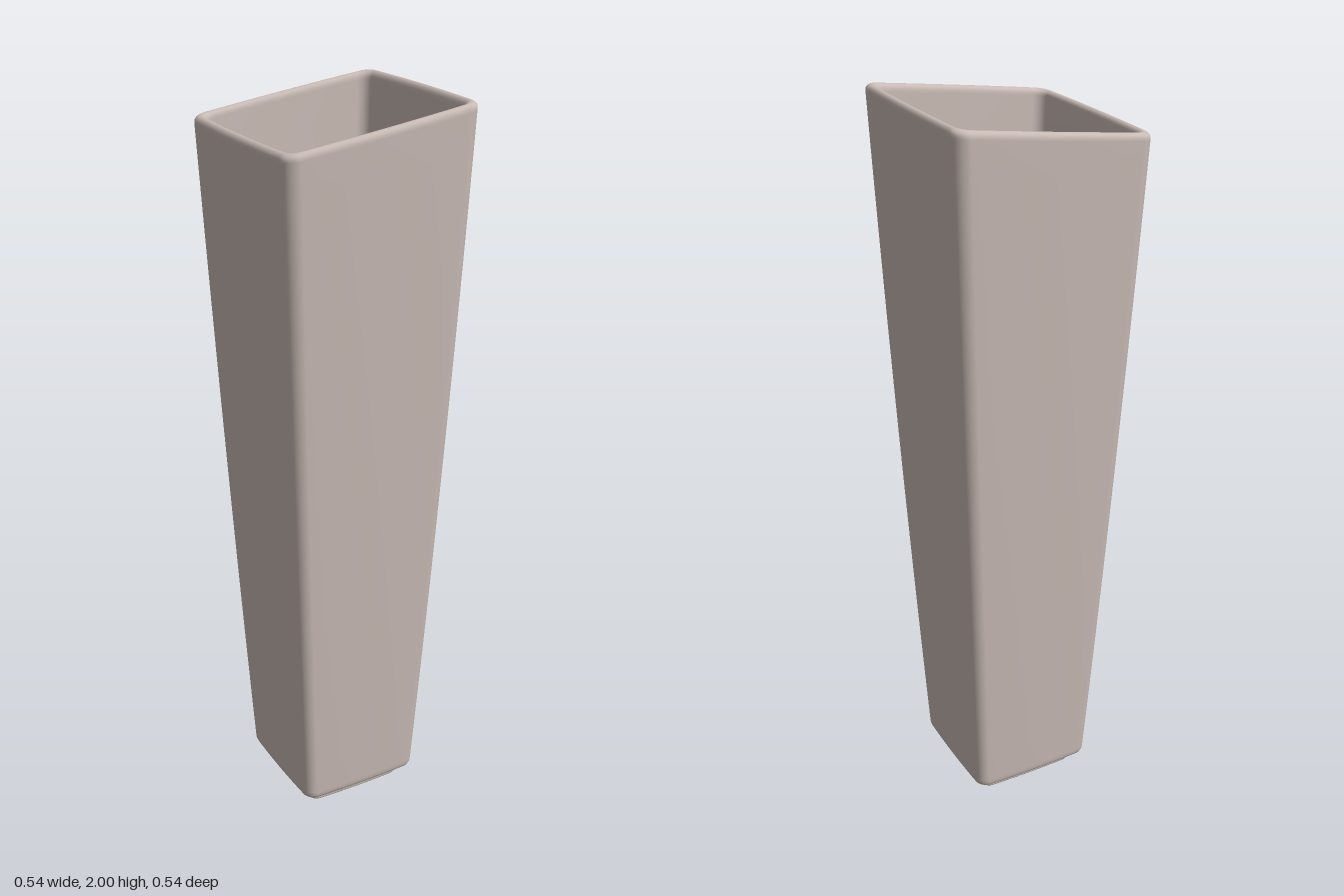
import * as THREE from 'three';

// One point of a rounded square ring, with sides bowing out slightly
function squareRing(half, radius, bow) {
  const r = Math.min(radius, half * 0.9);
  const e = half - r, pts = [], cornerSegs = 7, sideSegs = 10;
  const base = [];
  for (let k = 0; k <= cornerSegs; k++) {
    const a = -Math.PI / 4 + (k / cornerSegs - 0.5) * Math.PI / 2;
    base.push([e + Math.cos(a) * r, -e + Math.sin(a) * r]);
  }
  for (let k = 1; k < sideSegs; k++) base.push([half, -e + 2 * e * k / sideSegs]);
  for (let q = 0; q < 4; q++) {
    const c = Math.round(Math.cos(q * Math.PI / 2)), s = Math.round(Math.sin(q * Math.PI / 2));
    for (const [x, z] of base) pts.push([x * c - z * s, x * s + z * c]);
  }
  // pull the corners in so that mid-sides stay at full width
  return pts.map(([x, z]) => {
    const u = x / half, v = z / half;
    return [x * (1 - bow * v * v), z * (1 - bow * u * u)];
  });
}

// Surface through square rings listed as [half width, height, corner radius]
function loft(profile, tilt) {
  const pos = [], idx = [];
  let n = 0;
  profile.forEach(([half, y, radius]) => {
    const ring = squareRing(half, radius, 0.025);
    n = ring.length;
    for (const [x, z] of ring) pos.push(x, y - tilt * (0.258 - x) * Math.pow(y / 2, 3), z);
  });
  for (let i = 0; i < profile.length - 1; i++) {
    for (let j = 0; j < n; j++) {
      const a = i * n + j, b = i * n + (j + 1) % n;
      idx.push(a, a + n, b, b, a + n, b + n);
    }
  }
  const g = new THREE.BufferGeometry();
  g.setAttribute('position', new THREE.Float32BufferAttribute(pos, 3));
  g.setIndex(idx);
  g.computeVertexNormals();
  return g;
}

export function createModel() {
  const group = new THREE.Group();
  group.name = 'vase';
  const ceramic = new THREE.MeshStandardMaterial({ color: 0xc8bab4 });
  ceramic.name = 'warm grey ceramic';

  const flare = (t) => 1.2 * t - 0.2 * t * t;

  // Recessed underside and foot ring
  const profile = [
    [0.001, 0.025, 0.02], [0.112, 0.025, 0.02], [0.118, 0.024, 0.02], [0.121, 0.02, 0.02],
    [0.123, 0.006, 0.02], [0.126, 0.001, 0.02], [0.13, 0, 0.02],
    [0.141, 0, 0.022], [0.146, 0.002, 0.022], [0.148, 0.006, 0.022],
    [0.149, 0.028, 0.022], [0.151, 0.032, 0.022], [0.155, 0.033, 0.024],
    [0.167, 0.033, 0.026], [0.174, 0.035, 0.028], [0.179, 0.04, 0.03], [0.182, 0.048, 0.03],
  ];
  // Flaring outer wall
  for (let i = 0; i <= 20; i++) {
    const t = i / 20;
    profile.push([0.183 + 0.087 * flare(t), 0.06 + 1.92 * t, 0.03 + 0.006 * t]);
  }
  // Rounded rim
  for (let i = 1; i < 10; i++) {
    const a = Math.PI * i / 10;
    profile.push([0.257 + 0.013 * Math.cos(a), 1.982 + 0.018 * Math.sin(a), 0.034 - 0.0006 * i]);
  }
  // Inner wall
  for (let i = 20; i >= 0; i--) {
    const t = i / 20;
    profile.push([0.164 + 0.08 * flare(t), 0.085 + 1.895 * t, 0.02 + 0.008 * t]);
  }
  // Inner floor
  profile.push([0.161, 0.073, 0.02], [0.154, 0.067, 0.02], [0.145, 0.065, 0.02], [0.001, 0.065, 0.02]);

  const body = new THREE.Mesh(loft(profile, 0.14), ceramic);
  body.name = 'vaseBody';
  group.add(body);
  return group;
}
